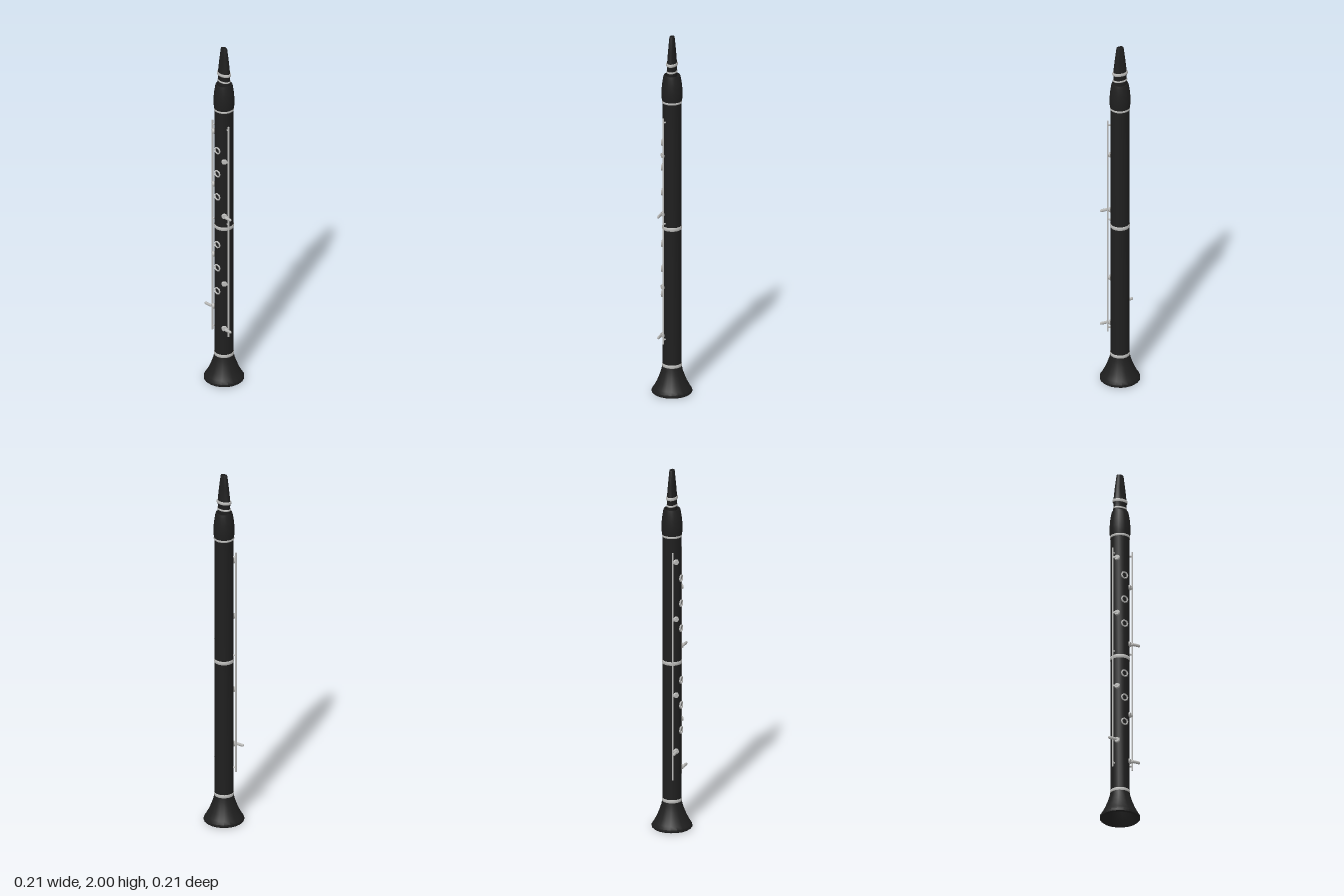
import * as THREE from 'three';
import { toCreasedNormals } from 'three/addons/utils/BufferGeometryUtils.js';

const black = new THREE.MeshStandardMaterial({ color: 0x1f1f1f });
black.name = 'black wood';
const silver = new THREE.MeshStandardMaterial({ color: 0xbcbcba });
silver.name = 'silver metal';

export function createModel() {
  const model = new THREE.Group();
  model.name = 'clarinet';

  function add(name, geometry, material, parent = model) {
    const mesh = new THREE.Mesh(geometry, material);
    mesh.name = name;
    parent.add(mesh);
    return mesh;
  }

  // Closed ring-like solid: profile goes up the outside and down the inside
  function turned(name, profile, material, flatten = 1) {
    const points = [...profile, profile[0]].map(([r, y]) => new THREE.Vector2(r, y));
    const geometry = new THREE.LatheGeometry(points, 20);
    geometry.scale(1, 1, flatten);
    return add(name, toCreasedNormals(geometry, 0.6), material);
  }
  const band = (name, y, outer, inner, height, flatten) => turned(name, [
    [inner, y - height / 2], [outer - 0.002, y - height / 2], [outer, y - height / 4],
    [outer, y + height / 4], [outer - 0.002, y + height / 2], [inner, y + height / 2],
  ], silver, flatten);

  // Hollow wooden body
  turned('bell', [
    [0.1, 0], [0.107, 0.006], [0.107, 0.018], [0.096, 0.035], [0.08, 0.065],
    [0.066, 0.1], [0.056, 0.13], [0.051, 0.155],
    [0.038, 0.155], [0.046, 0.125], [0.06, 0.08], [0.08, 0.035],
  ], black);
  turned('lowerJoint', [[0.05, 0.155], [0.05, 0.93], [0.038, 0.93], [0.038, 0.155]], black);
  turned('upperJoint', [[0.05, 0.93], [0.05, 1.635], [0.038, 1.635], [0.038, 0.93]], black);
  turned('barrel', [
    [0.052, 1.635], [0.055, 1.66], [0.056, 1.69], [0.053, 1.73], [0.047, 1.77],
    [0.043, 1.785], [0.038, 1.785], [0.038, 1.635],
  ], black);
  band('bellRing', 0.157, 0.053, 0.04, 0.02);
  band('middleRing', 0.93, 0.053, 0.04, 0.02);
  band('barrelRing', 1.637, 0.054, 0.04, 0.014);

  // Oval mouthpiece
  turned('mouthpiece', [
    [0.037, 1.77], [0.04, 1.785], [0.037, 1.81], [0.036, 1.825], [0.04, 1.84],
    [0.037, 1.855], [0.03, 1.92], [0.02, 1.995], [0.018, 2],
    [0.011, 2], [0.024, 1.87], [0.028, 1.77],
  ], black, 0.66);
  band('tenonRing', 1.805, 0.04, 0.03, 0.01, 0.68);
  band('ligatureRing', 1.846, 0.043, 0.03, 0.016, 0.68);

  // Finger rings down the front
  for (const y of [1.4, 1.26, 1.12, 0.83, 0.69, 0.55]) {
    const ring = add('fingerRing', new THREE.TorusGeometry(0.0175, 0.0045, 6, 8), silver);
    ring.position.set(0, y, 0.052);
  }

  // Long rods with posts on both sides
  const rodX = 0.058, rodZ = 0.028;
  for (const side of [-1, 1]) {
    const rods = new THREE.Group();
    rods.name = side > 0 ? 'leftRod' : 'rightRod';
    model.add(rods);
    const rod = add('rod', new THREE.CylinderGeometry(0.005, 0.005, 1.27, 8), silver, rods);
    rod.position.set(side * rodX, 0.92, rodZ);
    for (const y of [0.31, 0.96, 1.53]) {
      const post = add('post', new THREE.CylinderGeometry(0.004, 0.005, 0.022, 8), silver, rods);
      post.quaternion.setFromUnitVectors(new THREE.Vector3(0, 1, 0),
        new THREE.Vector3(side * 0.9, 0, 0.43).normalize());
      post.position.set(side * 0.051, y, 0.025);
    }
  }

  // Key cups, some carrying a touch lever that sticks out sideways
  const keys = [
    [-1, 1.5], [1, 1.34], [-1, 1.18], [1, 1.01, true],
    [-1, 0.755], [1, 0.6], [-1, 0.44, true], [1, 0.33, true],
  ];
  for (const [side, y, lever] of keys) {
    const key = new THREE.Group();
    key.name = 'key';
    key.position.y = y;
    model.add(key);
    const cup = add('keyCup', new THREE.CylinderGeometry(0.013, 0.016, 0.009, 12), silver, key);
    cup.quaternion.setFromUnitVectors(new THREE.Vector3(0, 1, 0),
      new THREE.Vector3(side * 0.7, 0, 0.71).normalize());
    cup.position.set(side * 0.039, 0, 0.04);
    const arm = add('keyArm', new THREE.BoxGeometry(0.024, 0.009, 0.006), silver, key);
    arm.position.set(side * 0.051, 0, 0.035);
    arm.rotation.y = side * 0.7;
    if (lever) {
      const touch = add('keyLever', new THREE.CapsuleGeometry(0.009, 0.032, 3, 8), silver, key);
      touch.rotation.z = Math.PI / 2;
      touch.scale.z = 0.7;
      touch.position.set(side * 0.07, 0, 0.046);
    }
  }
  return model;
}
